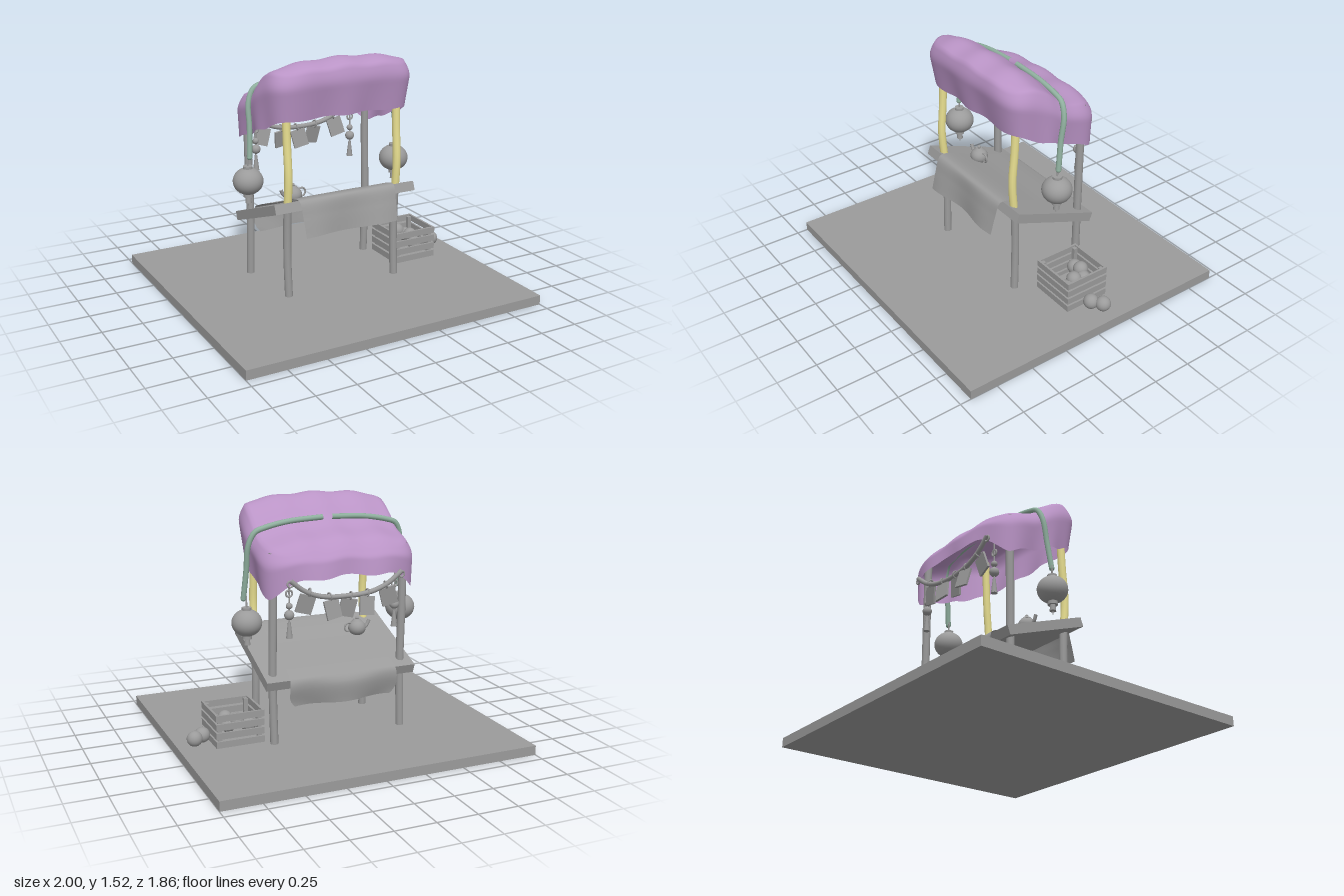
import * as THREE from 'three';
import { mergeVertices } from 'three/addons/utils/BufferGeometryUtils.js';

const V = (x, y, z) => new THREE.Vector3(x, y, z);
const mat = (color, side = THREE.FrontSide) => new THREE.MeshStandardMaterial({ color, side });
const stone = mat(0x9b9b9b);
const stoneSheet = mat(0x9b9b9b, THREE.DoubleSide);
const yellow = mat(0xe8df90);
const green = mat(0x90b09f);
const purple = mat(0xba94c6, THREE.DoubleSide);

function add(parent, name, geometry, material = stone, x = 0, y = 0, z = 0) {
  const mesh = new THREE.Mesh(geometry, material);
  mesh.name = name;
  mesh.position.set(x, y, z);
  parent.add(mesh);
  return mesh;
}
function addGroup(parent, name, x = 0, y = 0, z = 0) {
  const g = new THREE.Group();
  g.name = name;
  g.position.set(x, y, z);
  parent.add(g);
  return g;
}
const box = (w, h, d) => new THREE.BoxGeometry(w, h, d);
const ball = (r) => new THREE.SphereGeometry(r, 20, 14);
const rod = (top, bottom, h, n = 12) => new THREE.CylinderGeometry(top, bottom, h, n);
const ring = (r, thick) => new THREE.TorusGeometry(r, thick, 8, 16);
const tube = (pts, r, n = 40) =>
  new THREE.TubeGeometry(new THREE.CatmullRomCurve3(pts), n, r, 10);

// Smooth sheet from a rule point(u, v)
function sheet(point, nu, nv) {
  const pos = [], idx = [];
  for (let j = 0; j <= nv; j++)
    for (let i = 0; i <= nu; i++) pos.push(...point(i / nu, j / nv));
  for (let j = 0; j < nv; j++)
    for (let i = 0; i < nu; i++) {
      const a = j * (nu + 1) + i, c = a + nu + 1;
      idx.push(a, a + 1, c, a + 1, c + 1, c);
    }
  let g = new THREE.BufferGeometry();
  g.setAttribute('position', new THREE.Float32BufferAttribute(pos, 3));
  g.setIndex(idx);
  g = mergeVertices(g, 1e-5);
  g.computeVertexNormals();
  return g;
}

// Roof ridge line seen from the side, as (z, y)
const ridge = new THREE.SplineCurve([
  [-0.42, 1.19], [-0.37, 1.235], [-0.29, 1.3], [-0.145, 1.345], [-0.07, 1.39],
  [0.015, 1.465], [0.11, 1.515], [0.2, 1.51], [0.3, 1.465],
].map(([z, y]) => new THREE.Vector2(z, y))).getPoints(80);
function ridgeY(z) {
  const k = Math.max(1, ridge.findIndex((p) => p.x >= z));
  const a = ridge[k - 1], b = ridge[k];
  return a.y + ((b.y - a.y) * (z - a.x)) / (b.x - a.x);
}

// Draped awning: a rounded rectangle that spreads from the centre, then hangs to its hem
function awningPoint(u, v) {
  const t = (u === 1 ? 0 : u) * Math.PI * 2;
  const c = Math.cos(t), s = Math.sin(t), n = 5;
  const r = Math.pow(Math.abs(c) ** n + Math.abs(s) ** n, -1 / n);
  const spread = Math.min(1, v / 0.55), w = Math.max(0, (v - 0.55) / 0.45);
  const ex = c * r, ez = s * r, px = Math.abs(ex * spread);
  const zRoof = -0.05 + 0.31 * spread * ez;
  const yRoof = ridgeY(zRoof) - 0.025 * px ** 1.5 - 0.03 * px ** 5 + 0.005 * Math.cos(px * 11);
  if (w === 0) return [0.01 + 0.455 * ex * spread, yRoof, zRoof];
  const bulge = Math.sin(Math.min(1, w * 2.5) * Math.PI / 2);
  const fold = 0.01 * w * Math.sin(t * 9);
  const x = (0.455 + 0.05 * bulge - 0.028 * w + fold) * ex;
  const z = -0.05 + ez * (0.31 + fold + (ez > 0 ? 0.04 * bulge - 0.06 * w : 0.03 * bulge + 0.02 * w));
  const back = THREE.MathUtils.smoothstep(-z, 0.29, 0.41);
  const hem = 1.185 + 0.4 * (z - 0.24) + 0.007 * Math.sin(t * 11)
    + back * (0.1 + 0.07 * (1 - Math.min(1, Math.abs(x / 0.48)) ** 3));
  return [0.01 + x, yRoof + (hem - yRoof) * w, z];
}

function addLantern(parent, x) {
  const g = addGroup(parent, 'lantern', x, 0.77, -0.035);
  add(g, 'lanternBody', new THREE.SphereGeometry(0.094, 28, 18)).scale.y = 0.9;
  for (const y of [0.085, -0.09]) add(g, 'lanternCap', rod(0.03, 0.03, 0.022, 16), stone, 0, y);
  add(g, 'lanternCord', rod(0.005, 0.005, 0.08, 8), stone, 0, 0.125);
  add(g, 'lanternTassel', rod(0.016, 0.02, 0.05), stone, 0, -0.115);
  add(g, 'lanternThread', rod(0.003, 0.003, 0.03, 6), stone, 0, -0.145);
}

function addCharm(parent, x) {
  const g = addGroup(parent, 'hangingCharm', x, 0, -0.325);
  add(g, 'charmCord', rod(0.005, 0.005, 0.28, 8), stone, 0, 0.95);
  add(g, 'charmKnot', ring(0.02, 0.006), stone, 0, 1.0);
  add(g, 'charmBead', ball(0.02), stone, 0, 0.925);
  add(g, 'charmBell', ball(0.03), stone, 0, 0.87);
  add(g, 'charmTassel', rod(0.008, 0.02, 0.1), stone, 0, 0.78);
}

function addGarland(parent) {
  const g = addGroup(parent, 'garland');
  const half = 0.36, sag = (x) => 0.965 + 0.125 * Math.abs(x / half) ** 2.8;
  const pts = [];
  for (let i = -4; i <= 4; i++) {
    const x = (i / 4) * half;
    pts.push(V(x + 0.012, sag(x), -0.375 - 0.015 * Math.abs(i / 4)));
  }
  add(g, 'garlandRope', tube(pts, 0.015));
  for (const x of [-half, half]) add(g, 'ropeKnot', ring(0.018, 0.006), stone, x + 0.012, sag(x) - 0.02, -0.39);
  // x position and tilt of each plaque
  [[-0.25, 0.3], [-0.127, -0.12], [-0.018, -0.2], [0.117, 0.17], [0.248, -0.25]].forEach(([x, tilt], i) => {
    const plaque = addGroup(g, 'plaque', x, sag(x), -0.375);
    plaque.rotation.set(i % 2 ? 0.2 : -0.15, i % 2 ? 0.12 : -0.12, -tilt);
    add(plaque, 'plaqueRing', ring(0.022, 0.005)).rotation.y = Math.PI / 2;
    add(plaque, 'plaqueBoard', box(0.1, 0.115, 0.014), stone, 0, -0.077);
  });
}

function addCrate(parent) {
  const g = addGroup(parent, 'crate', 0.636, 0.06, -0.078);
  const w = 0.305, d = 0.302, t = 0.014;
  for (let i = 0; i < 4; i++) {
    const y = 0.024 + i * 0.055;
    for (const s of [-1, 1]) {
      add(g, 'crateSlat', box(w, 0.041, t), stone, 0, y, s * (d - t) / 2);
      add(g, 'crateSlat', box(t, 0.041, d - 2 * t), stone, s * (w - t) / 2, y, 0);
    }
  }
  for (const sx of [-1, 1])
    for (const sz of [-1, 1])
      add(g, 'cratePost', box(0.025, 0.2, 0.025), stone, sx * (w / 2 - 0.0265), 0.1, sz * (d / 2 - 0.0265));
  add(g, 'crateFloor', box(w - 2 * t, 0.012, d - 2 * t), stone, 0, 0.01);
}

function addTeapot(parent) {
  const g = addGroup(parent, 'teapot', -0.24, 0.648, 0.005);
  add(g, 'potBody', ball(0.057)).scale.y = 0.9;
  add(g, 'potLid', rod(0.02, 0.034, 0.014, 16), stone, 0, 0.05);
  add(g, 'potKnob', ball(0.011), stone, 0, 0.064);
  add(g, 'potSpout', tube([V(-0.045, -0.01, 0), V(-0.068, 0.01, 0), V(-0.085, 0.045, 0)], 0.011, 12));
  add(g, 'potHandle', ring(0.028, 0.006), stone, 0.058, 0.008);
}

export function createModel() {
  const model = new THREE.Group();
  model.name = 'marketStall';
  add(model, 'groundSlab', box(2, 0.06, 1.86), stone, 0, 0.03);

  // Poles: plain legs, with yellow uprights at the front
  for (const x of [-0.37, 0.392]) {
    add(model, 'frontLeg', tube([V(x + 0.004, 0.055, 0.185), V(x, 0.3, 0.178), V(x, 0.5, 0.18), V(x, 0.66, 0.188)], 0.025, 16));
    add(model, 'frontUpright', tube([V(x, 0.63, 0.188), V(x, 0.83, 0.203), V(x, 1.05, 0.188), V(x, 1.4, 0.175)], 0.025, 20), yellow);
  }
  for (const x of [-0.415, 0.437])
    add(model, 'backPole', tube([V(x, 0.055, -0.27), V(x + 0.005, 0.45, -0.265), V(x, 0.9, -0.27), V(x, 1.24, -0.27)], 0.025, 24));

  // Sloping counter and its cloth, whose ends hang down
  add(model, 'counter', box(0.98, 0.06, 0.61), stone, 0.012, 0.55, -0.045).rotation.x = -0.36;
  const fall = new THREE.CatmullRomCurve3([
    V(0, 0.475, 0.312), V(0, 0.59, 0.288), V(0, 0.685, 0.26), V(0, 0.695, 0.225), V(0, 0.595, -0.045),
    V(0, 0.505, -0.29), V(0, 0.475, -0.345), V(0, 0.43, -0.365), V(0, 0.303, -0.348),
  ]);
  add(model, 'counterCloth', sheet((u, v) => {
    const p = fall.getPoint(v), hang = Math.max(0, Math.abs(v - 0.5) * 2 - 0.5);
    const half = 0.322 + 0.037 * v - 0.04 * Math.max(0, (v - 0.93) / 0.07) ** 2;
    return [0.01 + (u * 2 - 1) * half, p.y + 0.006 * hang * Math.sin(u * 9), p.z + 0.035 * hang * Math.sin(u * 8 + 1)];
  }, 32, 64), stoneSheet);
  addTeapot(model);

  // Awning with a green strap falling on each side
  add(model, 'awning', sheet(awningPoint, 120, 36), purple);
  for (const s of [-1, 1]) {
    const strap = [[0.03, 1.395, -0.085], [0.25, 1.383, -0.085], [0.4, 1.355, -0.085], [0.465, 1.33, -0.083],
      [0.504, 1.25, -0.073], [0.511, 1.1, -0.05], [0.525, 0.92, -0.028]];
    add(model, 'strap', tube(strap.map(([x, y, z]) => V(0.01 + s * x, y, z)), 0.017), green);
    add(model, 'strapEnd', ball(0.017), green, 0.01 + s * 0.525, 0.92, -0.028);
  }

  // Hanging decorations
  addLantern(model, -0.525);
  addLantern(model, 0.518);
  addCharm(model, -0.335);
  addCharm(model, 0.355);
  addGarland(model);

  // Crate of fruit, with two fallen out
  addCrate(model);
  for (const [x, y, z] of [[0.565, 0.17, -0.16], [0.635, 0.2, -0.15], [0.685, 0.17, -0.13], [0.68, 0.19, -0.06],
    [0.68, 0.15, 0.0]]) add(model, 'fruit', ball(0.047), stone, x, y, z);
  for (const [x, z] of [[0.832, -0.075], [0.893, -0.12]]) add(model, 'fallenFruit', ball(0.048), stone, x, 0.107, z);
  return model;
}
